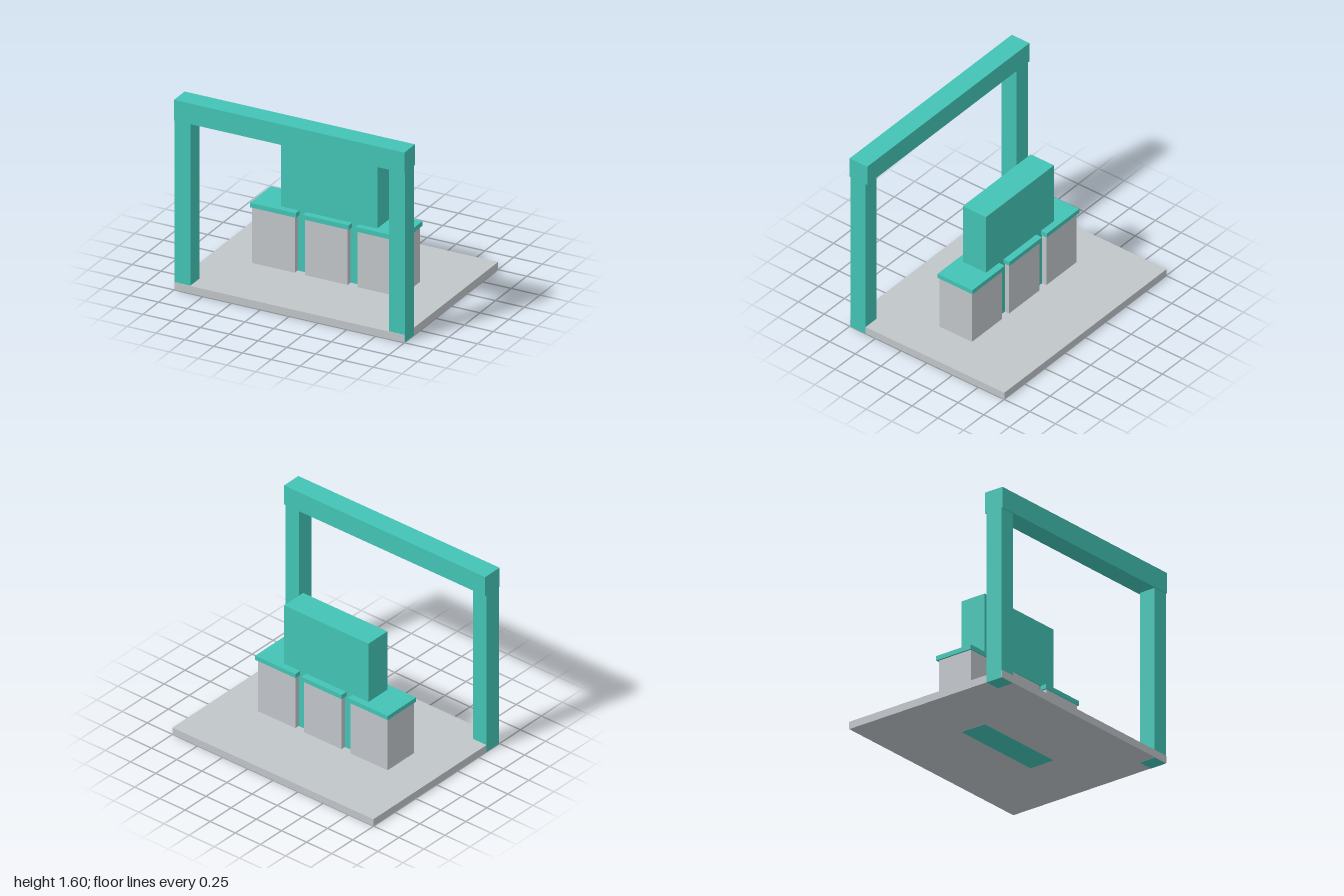
import * as THREE from 'three';

export function createModel() {
  const model = new THREE.Group();
  model.name = 'plinthDisplay';

  const teal = new THREE.MeshStandardMaterial({ color: 0x43c3b5 });
  teal.name = 'teal';
  const grey = new THREE.MeshStandardMaterial({ color: 0xc0c5c9 });
  grey.name = 'light grey';

  // Box given by its lower and upper limits on each axis
  function box(name, material, [x0, x1], [y0, y1], [z0, z1]) {
    const mesh = new THREE.Mesh(new THREE.BoxGeometry(x1 - x0, y1 - y0, z1 - z0), material);
    mesh.position.set((x0 + x1) / 2, (y0 + y1) / 2, (z0 + z1) / 2);
    mesh.name = name;
    model.add(mesh);
  }

  // Floor slab, a hair inside the posts so their feet show cleanly
  box('base', grey, [-0.999, 0.999], [0.001, 0.063], [-0.752, 0.748]);

  // Gateway: two posts and a crossbeam
  box('rightPost', teal, [-1, -0.863], [0, 1.44], [0.597, 0.743]);
  box('leftPost', teal, [0.863, 1], [0, 1.44], [0.597, 0.743]);
  box('crossbeam', teal, [-1, 1], [1.43, 1.603], [0.58, 0.752]);

  // Tall central block standing through the slab
  box('centreBlock', teal, [-0.42, 0.418], [0, 1.102], [-0.116, 0.11]);

  // Row of three capped pedestals
  ['right', 'middle', 'left'].forEach((side, i) => {
    const x = (i - 1) * 0.459;
    box(side + 'Pedestal', grey, [x - 0.186, x + 0.186], [0.06, 0.533], [-0.157, 0.157]);
    box(side + 'Cap', teal, [x - 0.2, x + 0.2], [0.533, 0.571], [-0.173, 0.166]);
  });

  return model;
}
